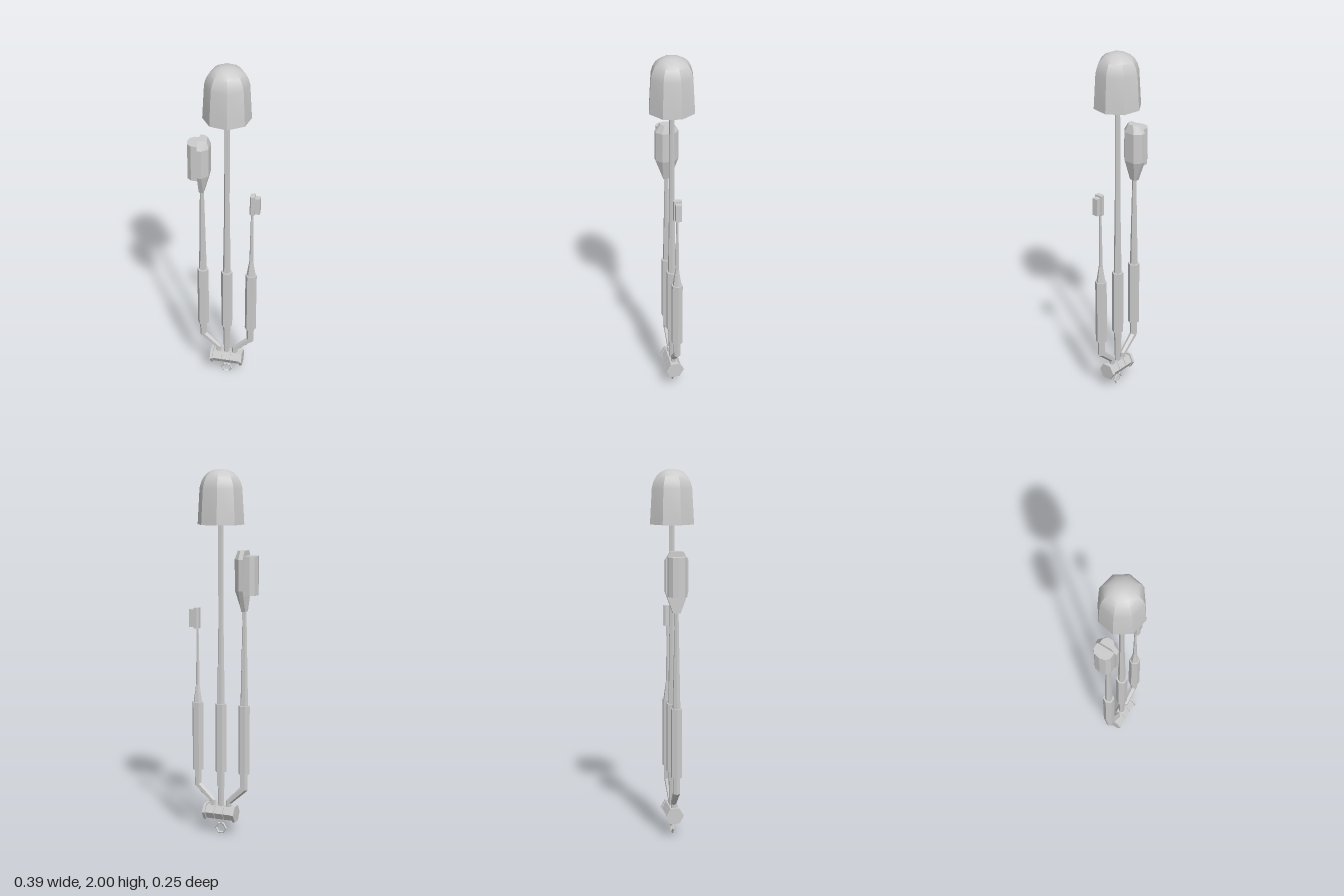
import * as THREE from 'three';
import { toCreasedNormals } from 'three/addons/utils/BufferGeometryUtils.js';

const flat = new THREE.MeshStandardMaterial({ color: 0xcccccc, flatShading: true });
const smooth = new THREE.MeshStandardMaterial({ color: 0xcccccc });

function add(parent, name, geometry, material = flat) {
  const mesh = new THREE.Mesh(geometry, material);
  mesh.name = name;
  parent.add(mesh);
  return mesh;
}

// Joins equal-length rings of [x, y, z] points, counter-clockwise seen from the end, and caps both ends
function loft(rings) {
  const n = rings[0].length, last = (rings.length - 1) * n, index = [];
  for (let i = 0; i < rings.length - 1; i++) {
    for (let j = 0; j < n; j++) {
      const a = i * n + j, b = i * n + (j + 1) % n;
      index.push(a, b, b + n, a, b + n, a + n);
    }
  }
  for (let j = 1; j < n - 1; j++) {
    index.push(0, j + 1, j, last, last + j, last + j + 1);
  }
  const geometry = new THREE.BufferGeometry();
  geometry.setAttribute('position', new THREE.Float32BufferAttribute(rings.flat(2), 3));
  geometry.setIndex(index);
  geometry.computeVertexNormals();
  return geometry;
}

// Upright prism from an [x, z] outline
const prism = (outline, y0, y1) =>
  loft([y0, y1].map(y => outline.map(([x, z]) => [x, y, z])));

// Six-sided turned bar from [radius, y] pairs
const bar = profile => new THREE.LatheGeometry(
  profile.map(([r, y]) => new THREE.Vector2(r, y)), 6, Math.PI / 6);

// Six-sided mitred sweep along [x, y, radius] points in the xy plane
function bentBar(path) {
  const points = path.map(([x, y]) => new THREE.Vector2(x, y));
  const rings = points.map((p, i) => {
    const into = points[Math.max(i, 1)].clone().sub(points[Math.max(i, 1) - 1]).normalize();
    const k = Math.min(i, points.length - 2);
    const out = points[k + 1].clone().sub(points[k]).normalize();
    const dir = into.clone().add(out).normalize();
    const r = path[i][2], wide = r / dir.dot(out);
    return Array.from({ length: 6 }, (_, j) => {
      const c = Math.cos(j * Math.PI / 3) * wide;
      return [p.x + dir.y * c, p.y - dir.x * c, -Math.sin(j * Math.PI / 3) * r];
    });
  });
  return loft(rings);
}

export function createModel() {
  const model = new THREE.Group();
  const midX = 0.014, brushX = -0.122, pickX = 0.151;

  // Hanging ring and its link
  add(model, 'hangingRing', new THREE.TorusGeometry(0.029, 0.006, 4, 6)).position.set(midX, 0.032, 0);
  add(model, 'ringLink', new THREE.BoxGeometry(0.01, 0.04, 0.01)).position.set(midX, 0.078, 0);

  // Hinge: three barrels on an axle, held between two end flanges
  const hinge = new THREE.Group();
  hinge.name = 'hinge';
  hinge.position.set(0.0155, 0.123, 0);
  model.add(hinge);
  const disc = (name, x, radius, width) => {
    const geometry = new THREE.CylinderGeometry(radius, radius, width, 6);
    geometry.rotateZ(Math.PI / 2);
    add(hinge, name, geometry).position.x = x;
  };
  for (const side of [-1, 1]) disc('hingeFlange', side * 0.085, 0.05, 0.015);
  for (const i of [-1, 0, 1]) disc('hingeBarrel', i * 0.052, 0.042, 0.049);
  disc('hingeAxle', 0, 0.036, 0.165);

  // Handle grips
  for (const [name, x] of [['domeGrip', midX], ['brushGrip', brushX], ['pickGrip', pickX]]) {
    add(model, name, bar([[0, 0.355], [0.032, 0.355], [0.032, 0.735], [0, 0.735]])).position.x = x;
  }

  // Lower legs running from the hinge to the grips
  add(model, 'domeLeg', bar([[0.016, 0.14], [0.022, 0.36]])).position.x = midX;
  add(model, 'brushLeg', bentBar([
    [-0.032, 0.14, 0.016], [-0.032, 0.185, 0.016], [brushX, 0.27, 0.02], [brushX, 0.36, 0.021]]));
  add(model, 'pickLeg', bentBar([
    [0.062, 0.14, 0.016], [0.062, 0.185, 0.016], [pickX, 0.27, 0.02], [pickX, 0.36, 0.021]]));

  // Tapered upper shafts
  add(model, 'domeShaft', bar([[0.022, 0.73], [0.015, 1.2], [0.014, 1.94]])).position.x = midX;
  add(model, 'brushShaft', bar([[0.022, 0.73], [0.011, 1.26]])).position.x = brushX;
  add(model, 'pickShaft', bar([[0.026, 0.73], [0.011, 0.83], [0.006, 1.15]])).position.x = pickX;

  // Hollow eight-sided dome, open underneath
  const domeProfile = [
    [0, 1.975], [0.06, 1.96], [0.098, 1.9], [0.113, 1.71], [0.126, 1.71], [0.115, 1.9],
    [0.106, 1.933], [0.09, 1.962], [0.067, 1.983], [0.036, 1.996], [0, 2]
  ].map(([r, y]) => new THREE.Vector2(r, y));
  const dome = new THREE.LatheGeometry(domeProfile, 8, THREE.MathUtils.degToRad(12));
  add(model, 'dome', toCreasedNormals(dome, 0.65), smooth).position.x = midX;

  // Brush head: flat face on the bristle side, bevelled back; rows are y, half width, back x
  const headRows = [
    [1.25, 0.02, -0.109], [1.365, 0.062, -0.079], [1.53, 0.062, -0.077], [1.575, 0.034, -0.09]];
  add(model, 'brushHead', loft(headRows.map(([y, w, back]) => [
    [back, y, w / 2], [back, y, -w / 2], [-0.11, y, -w],
    [-0.134, y, -w], [-0.134, y, w], [-0.11, y, w]])));

  // Bristle block with a rounded front
  add(model, 'bristles', prism([
    [-0.132, 0.05], [-0.132, -0.05], [-0.168, -0.05], [-0.19, -0.032],
    [-0.197, 0], [-0.19, 0.032], [-0.168, 0.05]], 1.34, 1.548));

  // Small brush head with its bristle block
  add(model, 'smallHead', prism([
    [0.166, 0.022], [0.166, -0.022], [0.147, -0.022],
    [0.14, -0.014], [0.14, 0.014], [0.147, 0.022]], 1.145, 1.258));
  add(model, 'smallBristles', new THREE.BoxGeometry(0.03, 0.097, 0.032)).position.set(0.179, 1.2, 0);

  return model;
}
